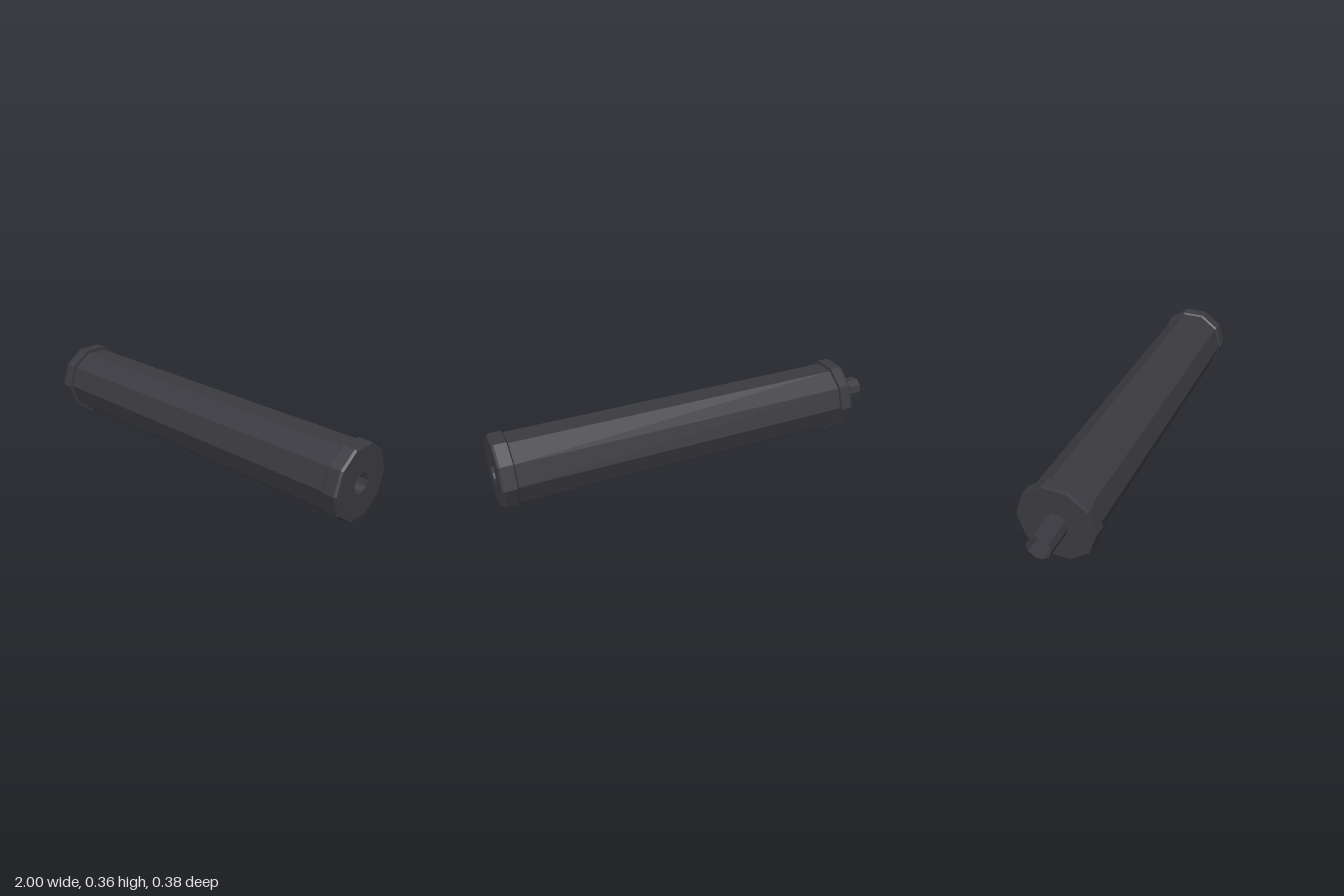
import * as THREE from 'three';

const SIDES = 10;
const AXIS_Y = 0.181;

export function createModel() {
  const group = new THREE.Group();
  const darkMetal = new THREE.MeshStandardMaterial({
    color: 0x3a393f, flatShading: true, side: THREE.DoubleSide,
  });
  darkMetal.name = 'darkMetal';

  // Ten-sided turned part along x; profile points are [x, radius]
  const turned = (name, profile) => {
    const points = profile.map(([x, r]) => new THREE.Vector2(r, x));
    const geometry = new THREE.LatheGeometry(points, SIDES).rotateZ(-Math.PI / 2);
    const mesh = new THREE.Mesh(geometry, darkMetal);
    mesh.name = name;
    mesh.position.y = AXIS_Y;
    group.add(mesh);
  };

  // Open connector tube at the rear
  turned('connectorTube', [[-1, 0.06], [-0.85, 0.06]]);

  // Wide rear collar, slightly eased at its outer edge
  turned('rearCollar', [
    [-0.85, 0], [-0.85, 0.187], [-0.835, 0.19], [-0.785, 0.19], [-0.785, 0.172],
  ]);

  // Long main barrel
  turned('mainBarrel', [[-0.785, 0.173], [0.925, 0.173]]);

  // Front cap with chamfers and a recessed bore
  turned('frontCap', [
    [0.925, 0.172], [0.932, 0.182], [0.99, 0.182], [1, 0.174],
    [1, 0.048], [0.6, 0.048], [0.6, 0],
  ]);

  return group;
}
